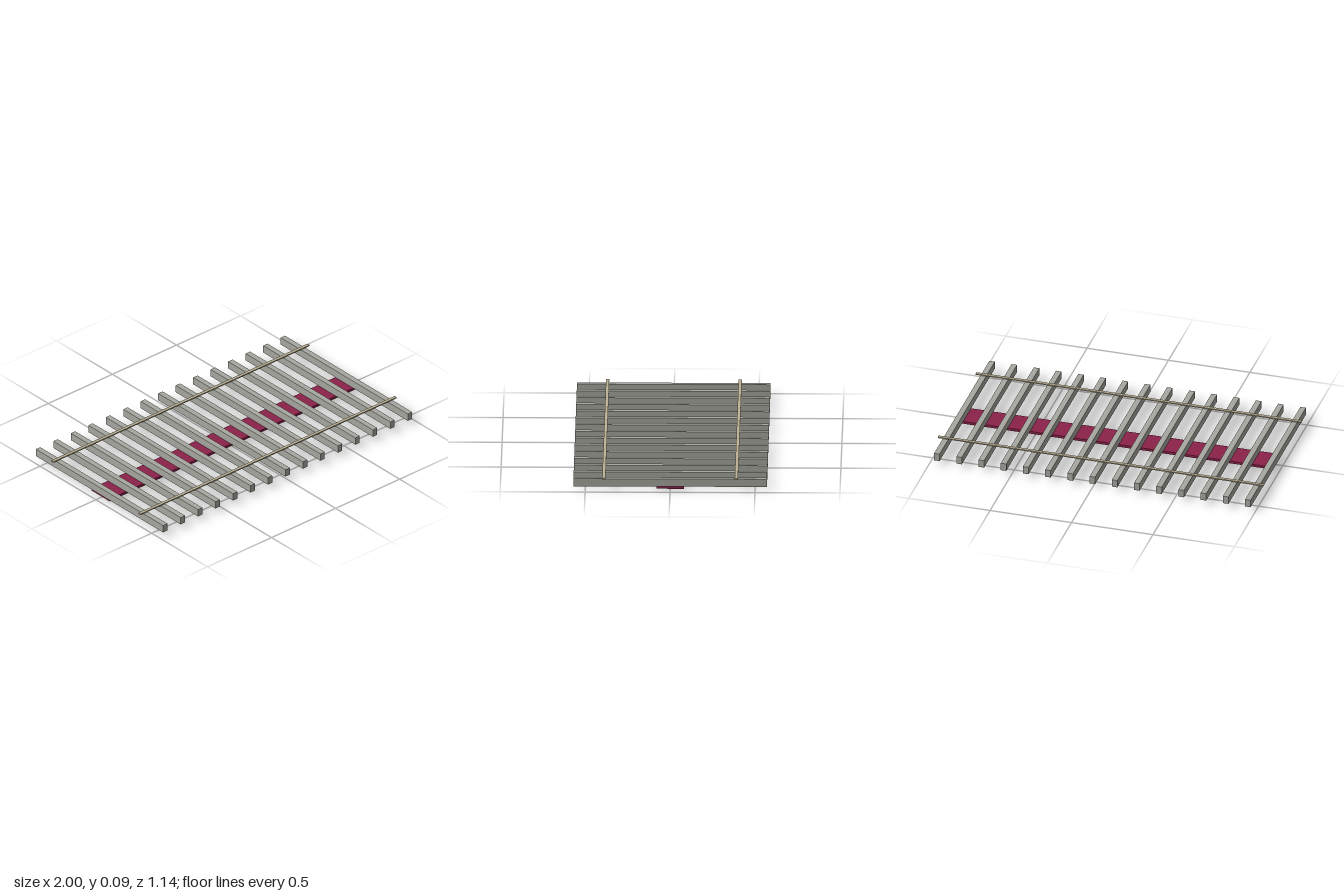
import * as THREE from 'three';

const material = (name, color) => {
  const m = new THREE.MeshStandardMaterial({ color });
  m.name = name;
  return m;
};

export function createModel() {
  const model = new THREE.Group();
  model.name = 'slattedTrack';
  const grey = material('weatheredGrey', 0xa9a9a2);
  const tan = material('paleTan', 0xbdb296);
  const maroon = material('maroon', 0x8b2149);

  // Box given its bottom and top heights
  const box = (name, mat, width, depth, bottom, top, x = 0, z = 0) => {
    const mesh = new THREE.Mesh(new THREE.BoxGeometry(width, top - bottom, depth), mat);
    mesh.position.set(x, (bottom + top) / 2, z);
    mesh.name = name;
    model.add(mesh);
  };

  // Fifteen evenly spaced cross slats
  const count = 15;
  for (let i = 0; i < count; i++) {
    const x = -0.955 + (1.91 * i) / (count - 1);
    box('slat', grey, 0.034, 1.14, 0.027, 0.074, x);
  }

  // Two thin rails just above the slats
  for (const side of [-1, 1]) box('rail', tan, 2, 0.019, 0.079, 0.086, 0, side * 0.39);

  // Long panel under the slats
  box('underPanel', maroon, 1.926, 0.162, 0.011, 0.0265);

  // Raised double chevrons on the underside, near each end
  const shape = new THREE.Shape([
    [0, 0], [0.028, 0.055], [0.043, 0.055], [0.015, 0], [0.043, -0.055], [0.028, -0.055],
  ].map(([x, y]) => new THREE.Vector2(x, y)));
  const chevron = new THREE.ExtrudeGeometry(shape, { depth: 0.011, bevelEnabled: false });
  chevron.rotateX(-Math.PI / 2);
  for (const x of [-0.84, -0.775, 0.66, 0.73]) {
    const mesh = new THREE.Mesh(chevron, grey);
    mesh.position.x = x;
    mesh.name = 'chevron';
    model.add(mesh);
  }

  return model;
}
